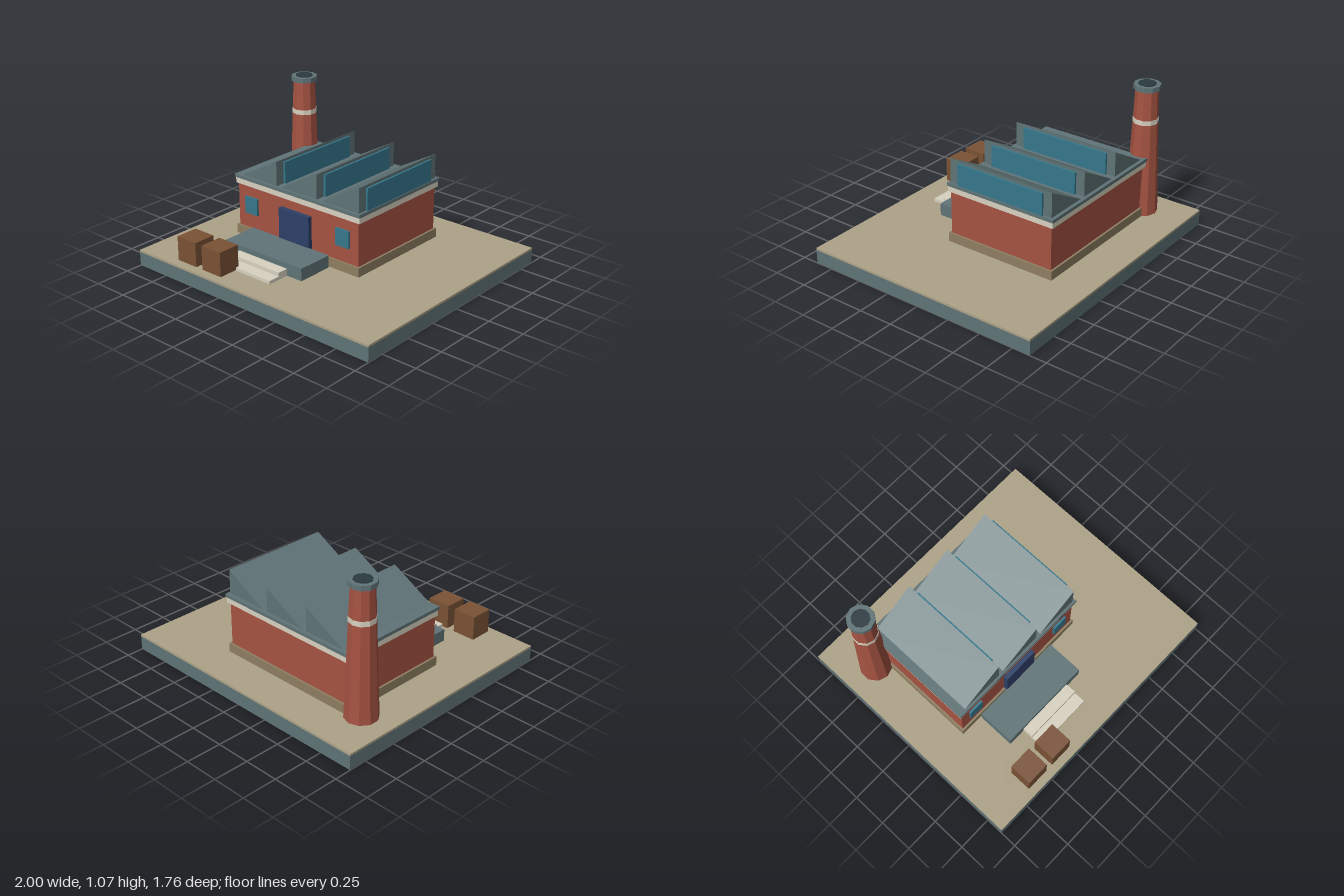
import * as THREE from 'three';

const COLORS = {
  slate: 0x607477, sand: 0xada287, plinth: 0x8f7f62, brick: 0xa65342, cream: 0xd8d2c0,
  navy: 0x2d4068, glass: 0x35788c, wood: 0x7a5235, soot: 0x2a3a40,
};
const materials = {};
for (const [key, color] of Object.entries(COLORS)) {
  materials[key] = new THREE.MeshStandardMaterial({ color, flatShading: true });
}

export function createModel() {
  const model = new THREE.Group();
  model.name = 'factory';

  const add = (name, geometry, material, x = 0, y = 0, z = 0) => {
    const mesh = new THREE.Mesh(geometry, materials[material]);
    mesh.name = name;
    mesh.position.set(x, y, z);
    model.add(mesh);
    return mesh;
  };
  // Box given by its extents along each axis
  const box = (name, material, [x0, x1], [y0, y1], [z0, z1]) =>
    add(name, new THREE.BoxGeometry(x1 - x0, y1 - y0, z1 - z0), material,
      (x0 + x1) / 2, (y0 + y1) / 2, (z0 + z1) / 2);

  // Ground slab
  const ground = 0.115;
  box('baseSlab', 'slate', [-1, 1], [0, 0.1], [-0.88, 0.88]);
  box('yard', 'sand', [-1, 1], [0.1, ground], [-0.88, 0.88]);

  // Main hall, from plinth to roof deck
  box('plinth', 'plinth', [-0.705, 0.395], [ground, 0.18], [-0.6, 0.24]);
  box('walls', 'brick', [-0.69, 0.38], [0.18, 0.49], [-0.585, 0.225]);
  box('cornice', 'cream', [-0.705, 0.395], [0.49, 0.532], [-0.603, 0.236]);
  box('roofDeck', 'slate', [-0.71, 0.4], [0.532, 0.555], [-0.61, 0.243]);

  // Sawtooth roof with a skylight on each upright face
  const pitch = 1.07 / 3;
  const profile = new THREE.Shape([
    new THREE.Vector2(0, 0.533), new THREE.Vector2(pitch, 0.533), new THREE.Vector2(pitch, 0.73),
  ]);
  const tooth = new THREE.ExtrudeGeometry(profile, { depth: 0.81, bevelEnabled: false });
  for (let i = 0; i < 3; i++) {
    const x = -0.69 + i * pitch;
    add('sawtoothRoof', tooth, 'slate', x, 0, -0.585);
    const face = x + pitch;
    box('skylight', 'glass', [face - 0.005, face + 0.015], [0.55, 0.71], [-0.52, 0.155]);
  }

  // Front door and windows
  box('door', 'navy', [-0.288, -0.022], [ground, 0.422], [0.22, 0.258]);
  for (const x of [-0.62, 0.195]) {
    box('window', 'glass', [x, x + 0.113], [0.29, 0.412], [0.215, 0.241]);
  }

  // Loading dock with two steps
  box('loadingDock', 'slate', [-0.535, 0.15], [ground, 0.203], [0.252, 0.52]);
  box('upperStep', 'cream', [-0.405, 0.025], [ground, 0.165], [0.52, 0.598]);
  box('lowerStep', 'cream', [-0.405, 0.025], [ground, 0.138], [0.598, 0.684]);

  // Crates
  for (const x of [-0.675, -0.448]) {
    box('crate', 'wood', [x, x + 0.17], [0.12, 0.293], [0.66, 0.823]);
  }

  // Ten-sided tapered chimney
  const ring = (name, material, rTop, rBottom, y0, y1) =>
    add(name, new THREE.CylinderGeometry(rTop, rBottom, y1 - y0, 10), material,
      -0.768, (y0 + y1) / 2, -0.541);
  ring('chimneyShaft', 'brick', 0.079, 0.114, ground, 1.03);
  ring('chimneyBand', 'cream', 0.089, 0.0895, 0.79, 0.824);
  ring('chimneyCap', 'slate', 0.094, 0.094, 1.03, 1.064);
  ring('chimneyMouth', 'soot', 0.062, 0.062, 1.05, 1.07);

  return model;
}
